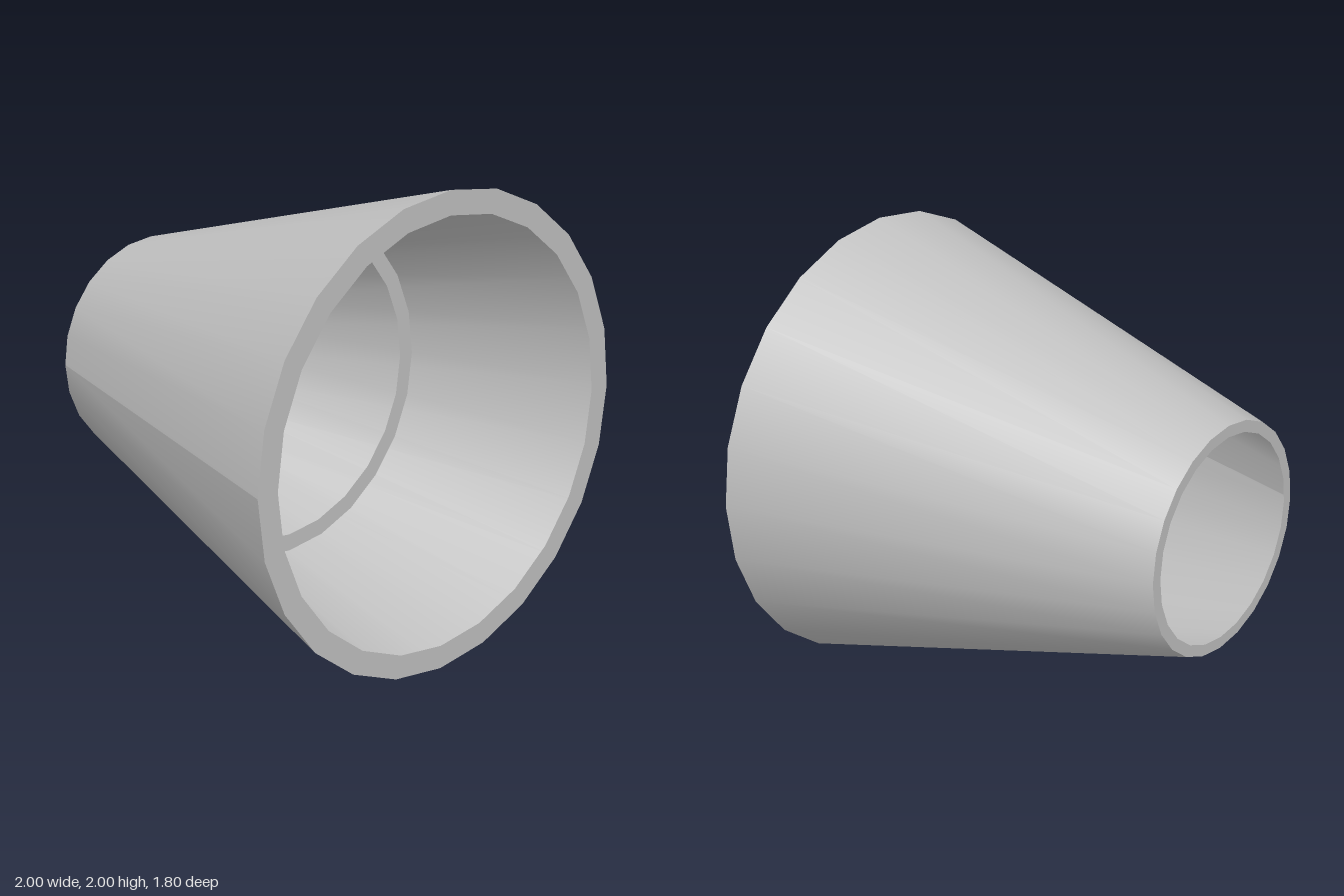
import * as THREE from 'three';

const SIDES = 24;
const HALF = 0.9;           // half the length along z
const FRONT_R = 1, BACK_R = 0.497;
const DRIFT = 0.02;         // the axis leans slightly to -x towards the back

const grey = new THREE.MeshStandardMaterial({ color: 0xc0c0c0, side: THREE.DoubleSide });
grey.name = 'grey';

const radiusAt = z => THREE.MathUtils.mapLinear(z, -HALF, HALF, BACK_R, FRONT_R);
const axisX = z => DRIFT * (z - HALF) / (2 * HALF);

function part(name, geometry) {
  const mesh = new THREE.Mesh(geometry, grey);
  mesh.name = name;
  return mesh;
}

// Flat ring filling the outer tenth of the cone's section at z
function ring(name, z) {
  const r = radiusAt(z);
  const mesh = part(name, new THREE.RingGeometry(0.9 * r, r, SIDES));
  mesh.position.set(axisX(z), 1, z);
  return mesh;
}

export function createModel() {
  const group = new THREE.Group();
  group.name = 'taperedTube';

  // Thin open shell, wide end to the front, seam at -x
  const shell = new THREE.CylinderGeometry(FRONT_R, BACK_R, 2 * HALF, SIDES, 1, true, -Math.PI / 2);
  shell.rotateX(Math.PI / 2);
  const p = shell.attributes.position;
  for (let i = 0; i < p.count; i++) p.setX(i, p.getX(i) + axisX(p.getZ(i)));
  shell.computeVertexNormals();
  shell.translate(0, 1, 0);
  group.add(part('shell', shell));

  // Rims at both ends and a stiffening ring halfway
  group.add(ring('frontRim', HALF), ring('middleRing', 0), ring('backRim', -HALF));
  return group;
}
